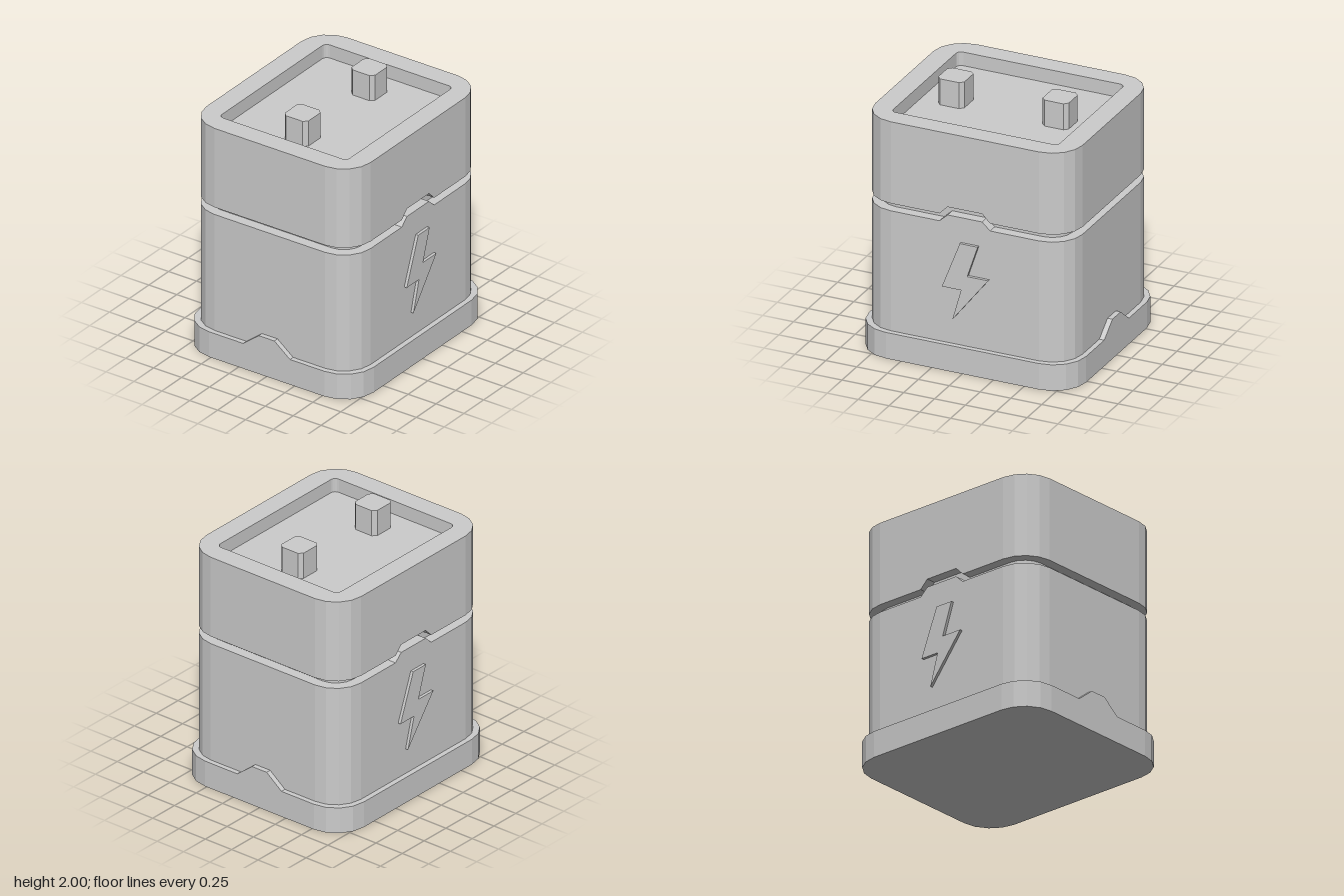
import * as THREE from 'three';

const CORNER_STEPS = 4;

// Rounded rectangle at height y; sideLift / frontLift raise a trapezoid in the middle of the x / z sides
function ring(hx, hz, r, y, sideLift = 0, frontLift = 0) {
  const points = [];
  for (let k = 0; k < 4; k++) {
    const onX = k % 2 === 0;
    const [wide, narrow] = onX ? [0.21, 0.07] : [0.205, 0.14];
    const lift = onX ? sideLift : frontLift;
    const out = onX ? hx : hz, along = onX ? hz : hx;
    const turn = (o, a, py) => {
      const c = [1, 0, -1, 0][k], s = [0, 1, 0, -1][k];
      points.push(new THREE.Vector3(o * c - a * s, py, o * s + a * c));
    };
    turn(out, -wide, y);
    turn(out, -narrow, y + lift);
    turn(out, narrow, y + lift);
    turn(out, wide, y);
    for (let i = 0; i <= CORNER_STEPS; i++) {
      const t = (i / CORNER_STEPS) * Math.PI / 2;
      turn(out - r + r * Math.cos(t), along - r + r * Math.sin(t), y);
    }
  }
  return points;
}

// All points gathered in the middle, to close a flat end
const centre = (y) => ring(1, 1, 0.1, y).map(() => new THREE.Vector3(0, y, 0));

// Skin over successive rings, listed from the bottom along the outside to the top
function loft(rings) {
  const pos = [];
  const tri = (a, b, c) => {
    if (a.equals(b) || b.equals(c) || c.equals(a)) return;
    for (const p of [a, b, c]) pos.push(p.x, p.y, p.z);
  };
  for (let j = 0; j < rings.length - 1; j++) {
    const lo = rings[j], hi = rings[j + 1], n = lo.length;
    for (let i = 0; i < n; i++) {
      const m = (i + 1) % n;
      tri(lo[i], hi[i], lo[m]);
      tri(hi[i], hi[m], lo[m]);
    }
  }
  const geometry = new THREE.BufferGeometry();
  geometry.setAttribute('position', new THREE.Float32BufferAttribute(pos, 3));
  geometry.computeVertexNormals();
  return geometry;
}

export function createModel() {
  const group = new THREE.Group();
  const material = new THREE.MeshStandardMaterial({ color: 0xcccccc, flatShading: true });
  const add = (name, geometry) => {
    const mesh = new THREE.Mesh(geometry, material);
    mesh.name = name;
    group.add(mesh);
    return mesh;
  };

  const base = (y, lift) => ring(0.88, 0.777, 0.26, y, lift);
  const body = (y, side, front) => ring(0.84, 0.735, 0.24, y, side, front);
  const core = (y, front) => ring(0.757, 0.655, 0.16, y, 0, front);
  const recess = (y) => ring(0.675, 0.572, 0.04, y);

  // Base tray with a raised tab on each side
  add('base', loft([centre(0), base(0), base(0.21, 0.11), body(0.21, 0.11)]));

  // Lower body with a tongue at front and back
  add('lowerBody', loft([body(0.21), body(1.18, 0, 0.06), core(1.18, 0.06)]));

  // Inset neck seen in the gap
  add('neck', loft([core(1.18, 0.06), core(1.24, 0.065)]));

  // Upper body with matching notches and a sunken top
  add('upperBody', loft([
    core(1.24, 0.065), body(1.24, 0, 0.065), body(1.9), recess(1.9), recess(1.79), centre(1.79),
  ]));

  // Terminals: square posts with chamfered corners
  const h = 0.106, c = 0.076;
  const postShape = new THREE.Shape(
    [[h, -c], [h, c], [c, h], [-c, h], [-h, c], [-h, -c], [-c, -h], [c, -h]]
      .map(([x, y]) => new THREE.Vector2(x, y)));
  const postGeometry = new THREE.ExtrudeGeometry(postShape, { depth: 0.21, bevelEnabled: false });
  postGeometry.rotateX(-Math.PI / 2);
  for (const [name, x] of [['leftTerminal', 0.423], ['rightTerminal', -0.423]]) {
    add(name, postGeometry).position.set(x, 1.79, 0);
  }

  // Raised lightning bolts on the front and back
  const boltShape = new THREE.Shape(
    [[-0.03, 1.04], [-0.175, 0.665], [-0.02, 0.665], [-0.09, 0.415], [0.2, 0.785], [0.03, 0.785], [0.115, 1.04]]
      .map(([x, y]) => new THREE.Vector2(x, y)));
  const boltGeometry = new THREE.ExtrudeGeometry(boltShape, { depth: 0.04, bevelEnabled: false });
  boltGeometry.translate(0, 0, 0.718);
  add('frontBolt', boltGeometry);
  add('backBolt', boltGeometry).rotation.y = Math.PI;

  return group;
}
